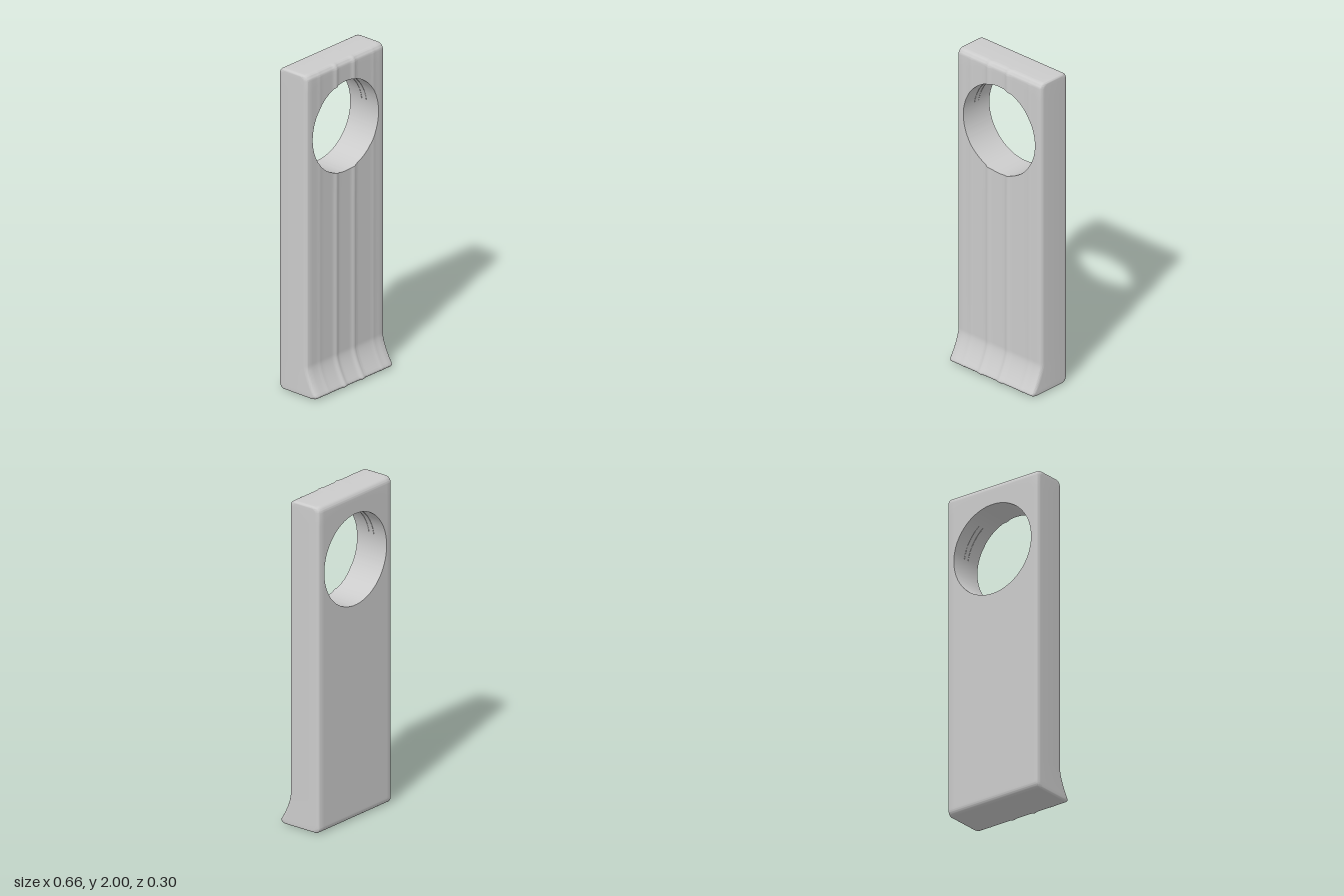
import * as THREE from 'three';
import { mergeGeometries, toCreasedNormals } from 'three/addons/utils/BufferGeometryUtils.js';

const HALF_W = 0.33, HEIGHT = 2, BACK = -0.147, FRONT = 0.071;
const HOLE_Y = 1.59, HOLE_R = 0.28, EDGE = 0.035;

// Quarter-ellipse setback of a rounded edge; d is the distance from the end.
const rounding = (d, r, depth) =>
  d >= r ? 0 : depth * (1 - Math.sqrt(Math.max(0, 1 - (1 - d / r) ** 2)));

const bump = (x, centre, width) => Math.exp(-(((x - centre) / width) ** 2));

// Front surface: fine vertical ridges plus the flared lip at the foot.
function frontZ(x, y) {
  const ridges = 0.008 * (bump(x, -0.083, 0.016) + bump(x, 0.068, 0.016))
    + 0.002 * (bump(x, -0.22, 0.015) + bump(x, 0.235, 0.015));
  const lip = 0.084 * Math.max(0, 1 - y / 0.19) ** 1.5;
  return FRONT + ridges + lip
    - rounding(y, 0.026, 0.055) - rounding(HEIGHT - y, EDGE, EDGE);
}

const backZ = (y) =>
  BACK + rounding(y, EDGE, 0.03) + rounding(HEIGHT - y, EDGE, EDGE);

// Stations across the width, with rounded ends and close spacing at the hole's sides.
function makeStations() {
  const list = [];
  const ends = [];
  for (let i = 0; i <= 7; i++) {
    const a = (i / 7) * Math.PI / 2;
    ends.push({ x: HALF_W - 0.018 + 0.018 * Math.sin(a), inset: 1 - Math.cos(a) });
  }
  for (const e of [...ends].reverse()) list.push({ x: -e.x, inset: e.inset });
  for (let i = 0; i <= 96; i++) {
    list.push({ x: -HOLE_R * Math.cos((i / 96) * Math.PI), inset: 0 });
  }
  return list.concat(ends);
}

// Heights from the outer edge to the hole, for the lower or the upper half.
function makeHeights(x, lower) {
  const chord = Math.sqrt(Math.max(0, HOLE_R ** 2 - x * x));
  const ys = [];
  for (let i = 0; i < 10; i++) ys.push(EDGE * (1 - Math.cos((i / 10) * Math.PI / 2)));
  if (lower) {
    for (let i = 0; i < 14; i++) ys.push(EDGE + (0.2 - EDGE) * i / 14);
    for (let i = 0; i <= 5; i++) ys.push(0.2 + (HOLE_Y - chord - 0.2) * i / 5);
    return ys;
  }
  const span = HEIGHT - HOLE_Y - chord;
  for (let i = 0; i <= 5; i++) ys.push(EDGE + (span - EDGE) * i / 5);
  return ys.map((d) => HEIGHT - d).reverse();
}

// Loft of closed side profiles; the hole's wall closes each profile.
function loftHalf(lower) {
  const stations = makeStations();
  const pos = [], index = [];
  let n = 0;
  for (const { x, inset } of stations) {
    const ys = makeHeights(x, lower);
    n = ys.length;
    const front = [], back = [];
    for (const y of ys) {
      const d = lower ? y : HEIGHT - y;
      const shift = 0.012 * inset * Math.max(0, 1 - d / 0.06) * (lower ? 1 : -1);
      front.push([x, y + shift, frontZ(x, y) - 0.028 * inset]);
      back.push([x, y + shift, backZ(y) + 0.028 * inset]);
    }
    for (const p of [...front, ...back.reverse()]) pos.push(...p);
  }
  const size = 2 * n;
  const quad = (a, b, c, d) => index.push(a, b, c, a, c, d);
  const wall = lower ? n - 1 : size - 1;
  for (let i = 0; i < stations.length - 1; i++) {
    const outside = Math.abs(stations[i].x + stations[i + 1].x) / 2 >= HOLE_R;
    for (let j = 0; j < size; j++) {
      if (j === wall && outside) continue;
      const k = (j + 1) % size, s = i * size, t = s + size;
      quad(s + j, t + j, t + k, s + k);
    }
  }
  // Flat side caps
  const last = (stations.length - 1) * size;
  for (let k = 0; k < n - 1; k++) {
    const f = k, b = size - 1 - k;
    quad(b, f, f + 1, b - 1);
    quad(last + f, last + b, last + b - 1, last + f + 1);
  }
  const geo = new THREE.BufferGeometry();
  geo.setAttribute('position', new THREE.Float32BufferAttribute(pos, 3));
  geo.setIndex(index);
  return geo;
}

export function createModel() {
  const group = new THREE.Group();
  const material = new THREE.MeshStandardMaterial({ color: 0xcccccc });

  // Slab with a round opening
  const slab = mergeGeometries([loftHalf(true), loftHalf(false)]);
  const body = new THREE.Mesh(toCreasedNormals(slab, 0.6), material);
  body.name = 'body';
  group.add(body);

  // Thin curved lines on both upper sides of the opening's wall
  const arc = 0.75;
  for (const start of [0.17, Math.PI - 0.17 - arc]) {
    for (const z of [-0.055, -0.02]) {
      const line = new THREE.Mesh(new THREE.TorusGeometry(HOLE_R, 0.002, 6, 24, arc), material);
      line.rotation.z = start;
      line.position.set(0, HOLE_Y, z);
      line.name = 'openingLine';
      group.add(line);
    }
  }
  return group;
}
